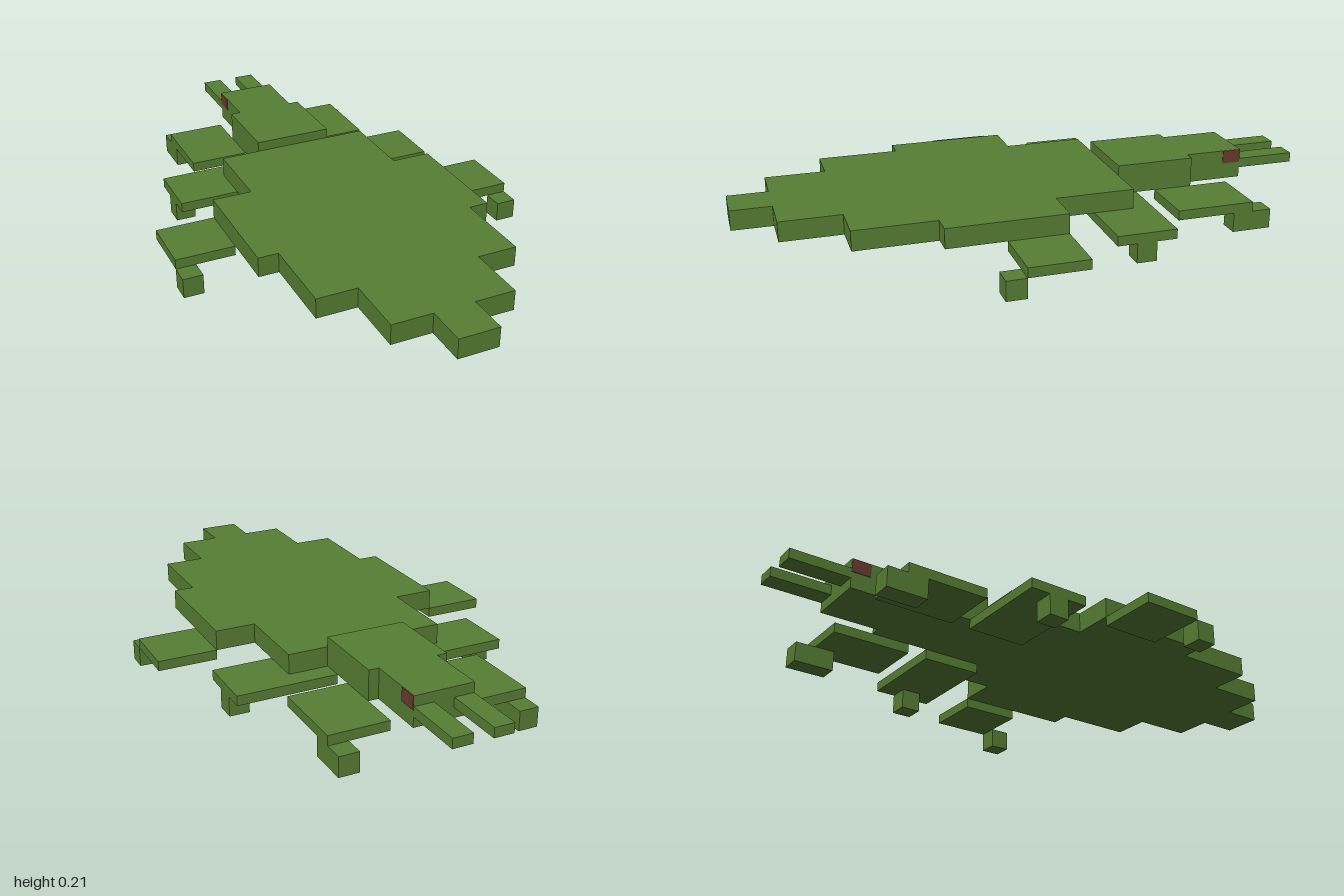
import * as THREE from 'three';

export function createModel() {
  const model = new THREE.Group();
  model.name = 'blockBeetle';
  const green = new THREE.MeshStandardMaterial({ color: 0x577f34 });
  green.name = 'leaf green';
  const brown = new THREE.MeshStandardMaterial({ color: 0x683c2b });
  brown.name = 'eye brown';

  const add = (parent, name, geometry, material) => {
    const mesh = new THREE.Mesh(geometry, material);
    mesh.name = name;
    parent.add(mesh);
    return mesh;
  };

  // Box given by its limits on each axis
  const box = (parent, name, [x0, x1], [y0, y1], [z0, z1], material = green) =>
    add(parent, name, new THREE.BoxGeometry(x1 - x0, y1 - y0, z1 - z0), material)
      .position.set((x0 + x1) / 2, (y0 + y1) / 2, (z0 + z1) / 2);

  // Symmetric stepped slab; rows are [zStart, zEnd, halfWidth] from back to front
  const steppedSlab = (name, rows, y0, y1) => {
    const side = rows.flatMap(([z0, z1, w]) => [[w, -z0], [w, -z1]]);
    const mirrored = side.map(([x, y]) => [-x, y]).reverse();
    const shape = new THREE.Shape([...side, ...mirrored].map(([x, y]) => new THREE.Vector2(x, y)));
    const geometry = new THREE.ExtrudeGeometry(shape, { depth: y1 - y0, bevelEnabled: false });
    geometry.rotateX(-Math.PI / 2).translate(0, y0, 0);
    add(model, name, geometry, green);
  };

  // Flat leaf-shaped body and raised head
  steppedSlab('body', [
    [-0.31, -0.034, 0.276], [-0.034, 0.376, 0.414], [0.376, 0.655, 0.345],
    [0.655, 0.862, 0.207], [0.862, 1, 0.069],
  ], 0.103, 0.172);
  steppedSlab('head', [[-0.793, -0.586, 0.103], [-0.586, -0.31, 0.138]], 0.103, 0.207);

  // Legs: plate x and z limits, foot x and z limits
  const legs = [
    ['headLeg', [0.138, 0.345], [-0.724, -0.448], [0.276, 0.345], [-0.793, -0.655]],
    ['middleLeg', [0.138, 0.483], [-0.379, -0.172], [0.414, 0.483], [-0.31, -0.241]],
    ['tailLeg', [0.414, 0.619], [-0.034, 0.172], [0.55, 0.619], [0.172, 0.241]],
  ];

  for (const s of [1, -1]) {
    const label = s > 0 ? 'left' : 'right';
    const flip = ([a, b]) => (s > 0 ? [a, b] : [-b, -a]);
    box(model, label + 'Antenna', flip([0.034, 0.103]), [0.138, 0.172], [-1, -0.793]);
    // Eye plate on the side of the head
    box(model, label + 'Eye', flip([0.1, 0.105]), [0.16, 0.206], [-0.792, -0.726], brown);
    for (const [name, plateX, plateZ, footX, footZ] of legs) {
      const leg = new THREE.Group();
      leg.name = label + name[0].toUpperCase() + name.slice(1);
      model.add(leg);
      box(leg, 'legPlate', flip(plateX), [0.069, 0.103], plateZ);
      box(leg, 'foot', flip(footX), [0, 0.069], footZ);
    }
  }
  return model;
}
